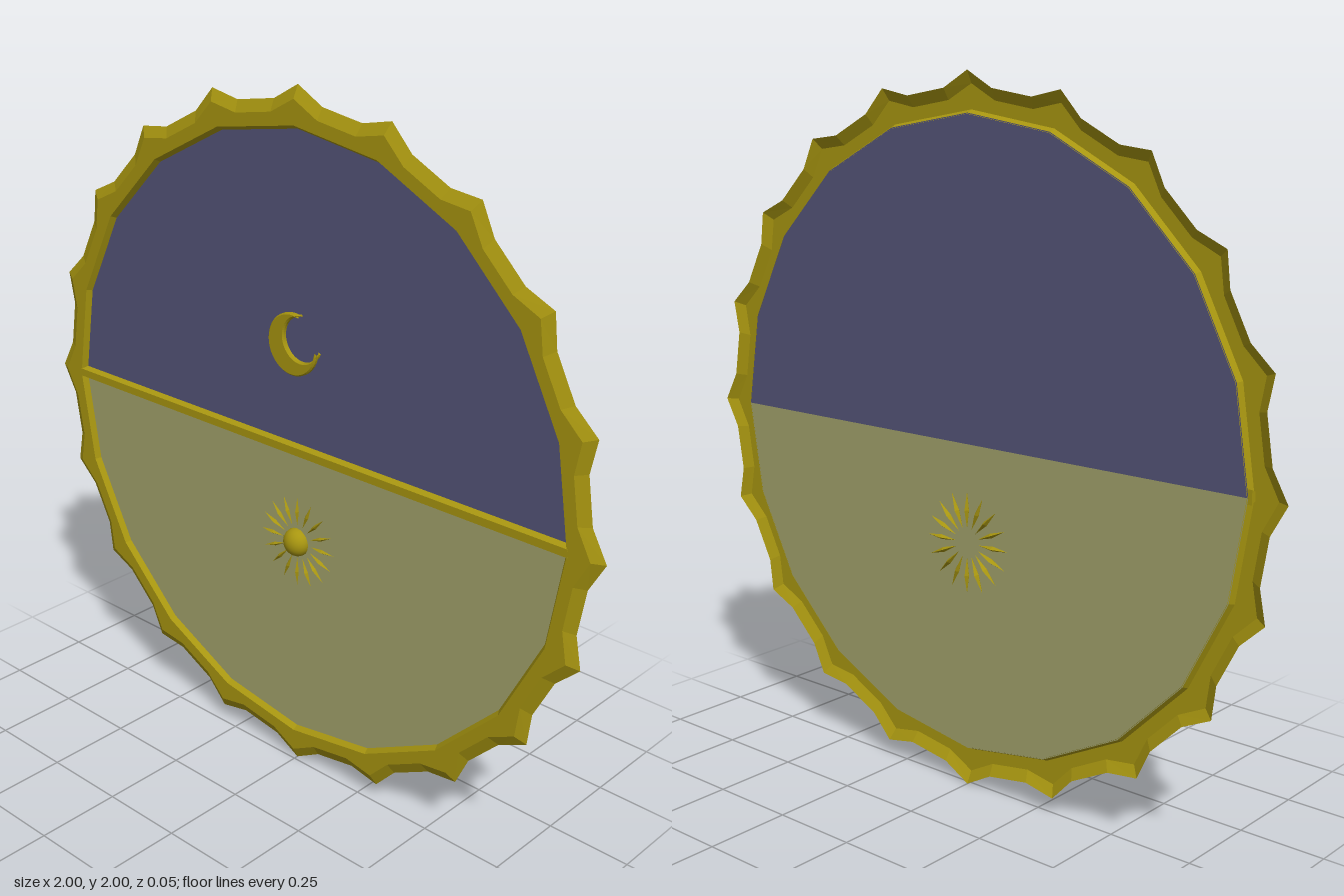
import * as THREE from 'three';

const mat = (color) => new THREE.MeshStandardMaterial({ color, flatShading: true, side: THREE.DoubleSide });
const gold = mat(0xa89610), night = mat(0x555579), day = mat(0xa3a36b);
const SIDES = 20, STEP = (Math.PI * 2) / SIDES, SPIKE = THREE.MathUtils.degToRad(5);
const PANEL_Z = -0.012, PANEL_R = 0.89;

function add(group, name, geometry, material, x = 0, y = 0, z = 0) {
  const mesh = new THREE.Mesh(geometry, material);
  mesh.name = name;
  mesh.position.set(x, y, z);
  group.add(mesh);
  return mesh;
}

// One closed loop of the frame: each side has a base, a corner and a base point
function frameLoop(corner, base, z) {
  const points = [];
  for (let i = 0; i < SIDES; i++) {
    for (const k of [-1, 0, 1]) {
      const a = i * STEP + k * SPIKE, r = k ? base : corner;
      points.push(new THREE.Vector3(r * Math.cos(a), r * Math.sin(a), z));
    }
  }
  return points;
}

// Join successive loops, from the outside inwards, with flat quads
function joinLoops(loops) {
  const corners = [];
  for (let l = 0; l < loops.length - 1; l++) {
    const o = loops[l], n = loops[l + 1];
    o.forEach((p, i) => {
      const j = (i + 1) % o.length;
      corners.push(p, o[j], n[j], p, n[j], n[i]);
    });
  }
  const geometry = new THREE.BufferGeometry().setFromPoints(corners);
  geometry.computeVertexNormals();
  return geometry;
}

// Half of a regular polygon with corners at every step
function halfPanel(start) {
  const points = [];
  for (let i = 0; i <= SIDES / 2; i++) {
    const a = start + i * STEP;
    points.push(new THREE.Vector2(PANEL_R * Math.cos(a), PANEL_R * Math.sin(a)));
  }
  return new THREE.ShapeGeometry(new THREE.Shape(points));
}

export function createModel() {
  const group = new THREE.Group();

  // Spiked frame: open-backed shell with outer and inner bevels
  const facet = Math.cos(STEP / 2) / Math.cos(STEP / 2 - SPIKE);
  add(group, 'frame', joinLoops([
    frameLoop(1, 0.957, -0.013),
    frameLoop(0.965, 0.925, 0.004),
    frameLoop(0.898, 0.898 * facet, 0.004),
    frameLoop(0.887, 0.887 * facet, -0.013),
  ]), gold, 0, 1, 0);

  // Night and day panels
  add(group, 'nightPanel', halfPanel(0), night, 0, 1, PANEL_Z);
  add(group, 'dayPanel', halfPanel(Math.PI), day, 0, 1, PANEL_Z);

  // Dividing bar with bevelled front edges
  const bar = new THREE.BoxGeometry(1.8, 0.038, 0.016);
  const pos = bar.attributes.position;
  for (let i = 0; i < pos.count; i++) if (pos.getZ(i) > 0) pos.setY(i, pos.getY(i) * 0.6);
  bar.computeVertexNormals();
  add(group, 'dividingBar', bar, gold, 0, 1.003, -0.0035);

  // Crescent moon: outer arc the long way round, inner arc back
  const moon = new THREE.Shape();
  moon.absarc(0, 0, 0.084, 1.26, -0.05 + Math.PI * 2, false);
  moon.absarc(0.032, 0.02, 0.067, -0.44, 1.67, true);
  add(group, 'moon', new THREE.ExtrudeGeometry(moon, {
    depth: 0.008, curveSegments: 20, bevelThickness: 0.004, bevelSize: 0.004, bevelSegments: 1,
  }), gold, -0.007, 1.31, -0.0075);

  // Sun: domed centre in front of the panel
  const dome = new THREE.SphereGeometry(0.042, 20, 8, 0, Math.PI * 2, 0, Math.PI / 2);
  dome.rotateX(Math.PI / 2).scale(1, 1, 0.036 / 0.042);
  const smoothGold = gold.clone();
  smoothGold.flatShading = false;
  add(group, 'sunCentre', dome, smoothGold, 0, 0.72, -0.011);

  // Sun rays: slim spindles passing through the panel
  const rays = new THREE.Group();
  rays.name = 'sunRays';
  rays.position.set(0, 0.72, -0.014);
  const ray = new THREE.OctahedronGeometry(1).scale(0.052, 0.007, 0.011);
  for (let i = 0; i < 16; i++) {
    const a = (i * Math.PI) / 8;
    add(rays, 'sunRay', ray, gold, 0.094 * Math.cos(a), 0.094 * Math.sin(a)).rotation.z = a;
  }
  group.add(rays);

  return group;
}
